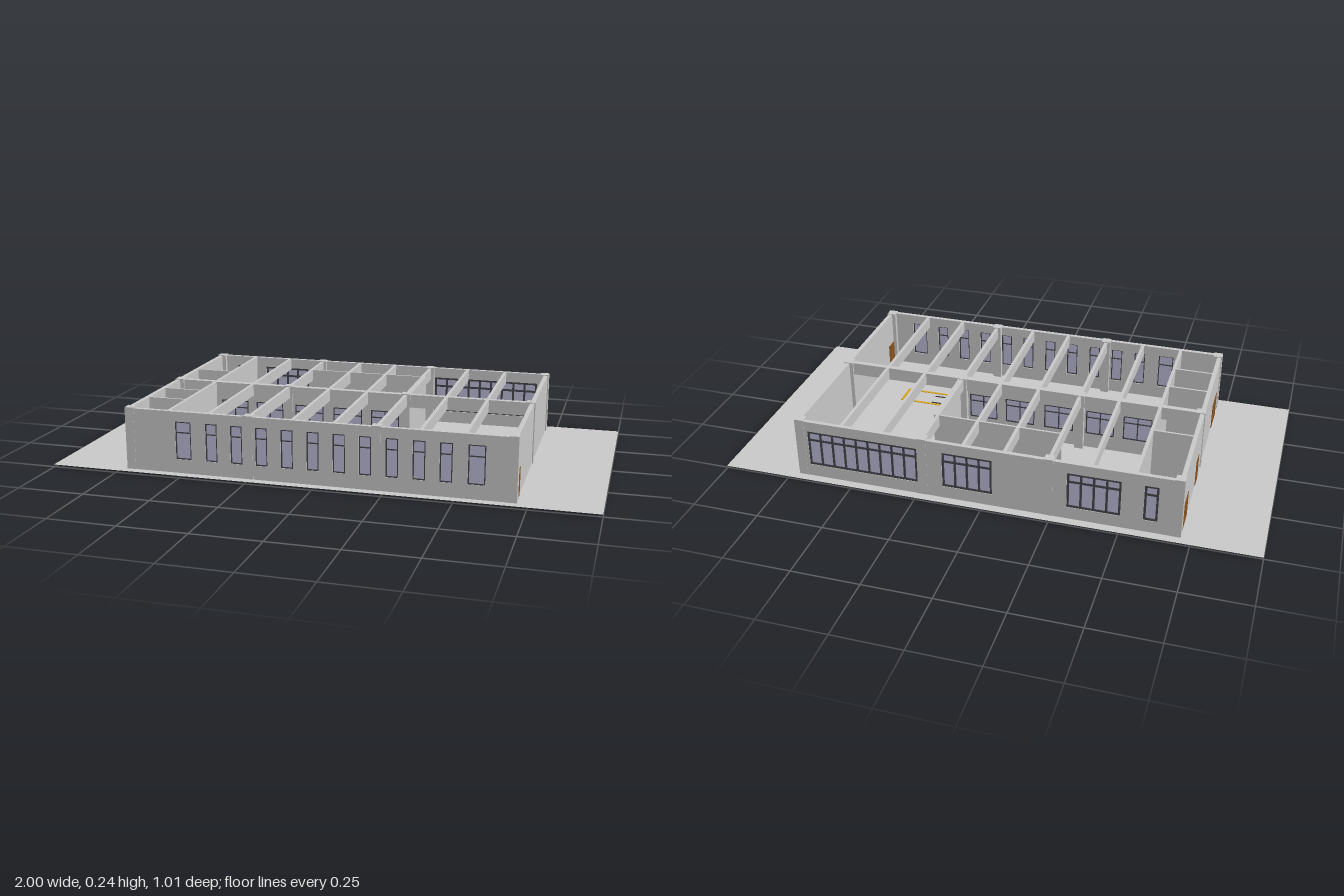
import * as THREE from 'three';

const mat = (color) => new THREE.MeshStandardMaterial({ color, side: THREE.DoubleSide });
const grey = mat(0xcccccc), dark = mat(0x45454d), glass = mat(0xc0bfdc);
const brown = mat(0x8a5420), yellow = mat(0xd9a520), red = mat(0xcc1010);
const FLOOR = 0.01, TOP = 0.24, T = 0.016;

export function createModel() {
  const model = new THREE.Group();

  // box given by its extents on each axis
  function box(name, x0, x1, y0, y1, z0, z1, material = grey, parent = model) {
    const mesh = new THREE.Mesh(new THREE.BoxGeometry(x1 - x0, y1 - y0, z1 - z0), material);
    mesh.position.set((x0 + x1) / 2, (y0 + y1) / 2, (z0 + z1) / 2);
    mesh.name = name;
    parent.add(mesh);
    return mesh;
  }

  // wall along x with rectangular holes [x0, x1, y0, y1]
  function pierced(name, x0, x1, z0, depth, holes) {
    const rect = (p, a, b, c, d) => p.moveTo(a, c).lineTo(b, c).lineTo(b, d).lineTo(a, d).closePath();
    const shape = rect(new THREE.Shape(), x0, x1, FLOOR, TOP);
    for (const [a, b, c, d] of holes) shape.holes.push(rect(new THREE.Path(), a, b, c, d));
    const mesh = new THREE.Mesh(new THREE.ExtrudeGeometry(shape, { depth, bevelEnabled: false }), grey);
    mesh.position.z = z0;
    mesh.name = name;
    model.add(mesh);
  }

  // glazed window with frame, transom and mullions
  function windowUnit(name, [x0, x1, y0, y1], z, panes, bar, transom = 0.16) {
    const g = new THREE.Group();
    g.name = name;
    box('glass', x0, x1, y0, y1, z - 0.002, z + 0.002, glass, g);
    const d = 0.005;
    for (const y of [y0, transom, y1 - bar]) box('rail', x0, x1, y, y + bar, z - d, z + d, dark, g);
    for (let i = 0; i <= panes; i++) {
      const x = x0 + (x1 - x0 - bar) * i / panes;
      box('mullion', x, x + bar, y0, y1, z - d, z + d, dark, g);
    }
    model.add(g);
  }

  // ground sheet
  const ground = new THREE.Mesh(new THREE.PlaneGeometry(2, 1.01), grey);
  ground.rotation.x = -Math.PI / 2;
  ground.position.y = FLOOR;
  ground.name = 'ground';
  model.add(ground);

  // front wall: ten narrow windows between two wider ones
  const front = [-0.49, -0.382, -0.287, -0.193, -0.098, -0.003, 0.092, 0.186, 0.281, 0.376, 0.47, 0.575]
    .map((x, i) => {
      const h = i % 11 === 0 ? 0.03 : 0.022;
      return [x - h, x + h, 0.062, 0.203];
    });
  pierced('frontWall', -0.712, 0.71, 0.472 - T, T, front);
  front.forEach((w) => windowUnit('frontWindow', w, 0.465, 1, 0.004));

  // back wall: window bands
  const back = [[0.244, 0.667, 9], [-0.036, 0.15, 4], [-0.5, -0.308, 4], [-0.63, -0.58, 1]];
  const backHoles = back.map(([a, b]) => [a, b, 0.058, 0.2]);
  pierced('backWall', -0.712, 0.71, -0.472, T, backHoles);
  back.forEach((w, i) => windowUnit('backWindow', backHoles[i], -0.465, w[2], 0.008));

  // side walls and outer doors
  box('leftWall', 0.71 - T, 0.71, FLOOR, TOP, -0.456, 0.456);
  box('rightWall', -0.712, -0.712 + T, FLOOR, TOP, -0.456, 0.456);
  box('leftDoor', 0.692, 0.712, 0.009, 0.112, 0.385, 0.437, brown);
  for (const [z0, z1] of [[-0.44, -0.335], [-0.143, -0.09], [0.275, 0.385]])
    box('rightDoor', -0.714, -0.694, 0.009, 0.112, z0, z1, brown);

  // columns
  for (const x of [-0.698, -0.242, 0.225, 0.697])
    for (const z of [-0.456, 0, 0.456]) {
      const s = 0.017;
      box('column', x - s, x + s, FLOOR, TOP + 0.003, z - s, z + s);
    }

  // roof beams
  box('middleBeam', -0.7, 0.7, 0.19, TOP, -0.01, 0.01);
  for (const x of [-0.547, -0.392, -0.242, -0.08, 0.072, 0.225, 0.38, 0.535])
    box('crossBeam', x - 0.006, x + 0.006, 0.195, TOP, -0.457, 0.457);

  // rooms along the right side
  box('corridorWall', -0.552, -0.542, FLOOR, 0.2, -0.457, 0.457);
  for (const z of [-0.175, 0.155, 0.3])
    box('partition', -0.7, -0.55, FLOOR, TOP, z - 0.004, z + 0.004);

  // central room and glazed middle wall
  const mid = [[-0.52, -0.41], [-0.375, -0.265], [-0.215, -0.1], [-0.06, 0.055], [0.09, 0.2]]
    .map(([a, b]) => [a, b, 0.07, 0.17]);
  pierced('middleWall', -0.547, 0.24, 0.004, 0.01, mid);
  mid.forEach((w) => windowUnit('innerWindow', w, 0.009, 2, 0.004, 0.14));
  box('roomBackWall', -0.242, 0.24, FLOOR, TOP, -0.294, -0.286);
  box('roomSideWall', 0.232, 0.24, FLOOR, TOP, -0.29, 0.01);
  box('roomDoor', 0.0, 0.05, FLOOR, 0.112, -0.297, -0.283, brown);
  box('fireBox', 0.215, 0.24, 0.035, 0.065, 0.012, 0.024, red);

  // inspection pit: yellow outline, dark edges and step
  const pit = new THREE.Group();
  pit.name = 'pitMarking';
  for (const z of [0.139, 0.225]) box('longStripe', -0.55, 0.55, 0, 0.0115, z, z + 0.01, yellow, pit);
  for (const x of [-0.55, 0.54]) box('endStripe', x, x + 0.01, 0, 0.0115, 0.139, 0.235, yellow, pit);
  for (const z of [0.155, 0.205]) box('pitEdge', -0.53, 0.42, 0.007, 0.012, z - 0.003, z + 0.003, dark, pit);
  box('pitStep', 0.34, 0.365, 0.008, 0.014, 0.155, 0.205, dark, pit);
  model.add(pit);

  return model;
}
